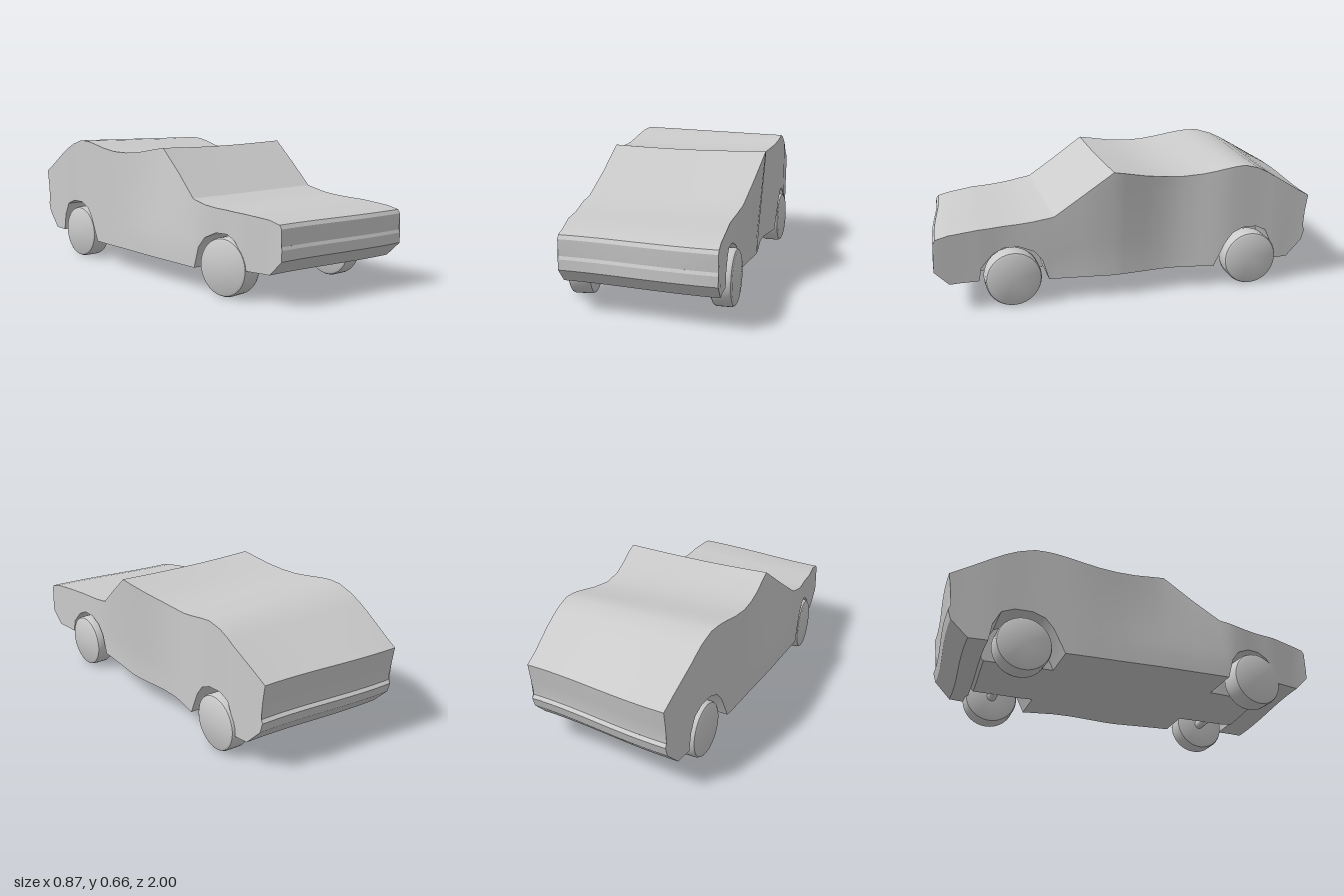
import * as THREE from 'three';
import { toCreasedNormals } from 'three/addons/utils/BufferGeometryUtils.js';

const { lerp, smoothstep } = THREE.MathUtils;

// Stations from nose to tail: top z, top y, bottom z, sill/arch y, floor y
const nose = [
  [0.968, 0.28, 0.968, 0.28], [0.972, 0.35, 0.975, 0.265], [0.972, 0.36, 0.975, 0.215],
  [0.96, 0.378, 0.905, 0.145], [0.9, 0.393, 0.85, 0.145], [0.77, 0.406, 0.765, 0.145],
];
const middle = [
  [0.755, 0.407, 0.21, 0.125], [0.7, 0.409, 0.275], [0.65, 0.412, 0.3], [0.58, 0.416, 0.3],
  [0.51, 0.424, 0.27], [0.47, 0.432, 0.22], [0.44, 0.437, 0.115], [0.41, 0.444, 0.115],
  [0.27, 0.55, 0.115], [0.12, 0.663, 0.115], [0.06, 0.652, 0.115], [-0.05, 0.629, 0.115],
  [-0.15, 0.616, 0.115], [-0.25, 0.613, 0.115], [-0.35, 0.624, 0.115], [-0.42, 0.637, 0.115],
  [-0.48, 0.648, 0.24], [-0.52, 0.653, 0.29], [-0.58, 0.655, 0.315], [-0.66, 0.633, 0.315],
  [-0.72, 0.604, 0.29], [-0.755, 0.583, 0.22],
];
const tail = [
  [-0.77, 0.575, -0.77, 0.13], [-0.9, 0.497, -0.8, 0.13], [-0.97, 0.457, -0.86, 0.13],
  [-0.957, 0.37, -0.945, 0.215], [-0.946, 0.3, -0.96, 0.265], [-0.946, 0.28, -0.946, 0.28],
];
const end = ([zt, yt, zb, yb]) => ({ zt, yt, zb, yb, yf: yb });
const stations = [
  ...nose.map(end),
  ...middle.map(([z, yt, yb, yf = 0.115]) => ({ zt: z, yt, zb: z, yb, yf })),
  ...tail.map(end),
];

// Half widths along z for the two flanks
const widthLeft = [[-0.95, 0.38], [-0.75, 0.395], [-0.5, 0.405], [-0.2, 0.365], [0.12, 0.395],
  [0.4, 0.37], [0.6, 0.367], [0.8, 0.385], [0.98, 0.4]];
const widthRight = [[-1, 0.385], [-0.7, 0.403], [-0.25, 0.425], [0.12, 0.435], [0.45, 0.437],
  [0.7, 0.4], [0.95, 0.362]];

function sample(table, z) {
  for (let i = 1; i < table.length; i++) {
    const [z0, a] = table[i - 1], [z1, b] = table[i];
    if (z <= z1) return lerp(a, b, smoothstep(z, z0, z1));
  }
  return table[table.length - 1][1];
}

// Bends the straight body: s runs from -1 (right flank) to 1 (left flank)
function warp(s, y, z) {
  const near = (c, w) => Math.exp(-(((z - c) / w) ** 2));
  const lean = Math.max(0, y - 0.2) * near(0.18, 0.3) * (s > 0 ? 0.09 : 0.14);
  const x = s * sample(s > 0 ? widthLeft : widthRight, z) + Math.abs(s) * lean;
  const high = smoothstep(y, 0.3, 0.6);
  const dy = high * (-0.013 * s * near(-0.38, 0.3) - 0.008 * Math.cos(s * Math.PI / 2) * near(0.1, 0.3));
  const dz = 0.028 * Math.sin(s * Math.PI / 2) * smoothstep(Math.abs(z), 0.4, 0.92);
  return [x, y + dy, z + dz];
}

// Surface grid over the stations; at(station, t) gives one point
function panel(name, cols, flip, at, material) {
  const pos = [], idx = [], row = cols + 1;
  stations.forEach((st, i) => {
    for (let j = 0; j <= cols; j++) {
      pos.push(...at(st, j / cols));
      if (i === 0 || j === 0) continue;
      const d = i * row + j, c = d - 1, b = d - row, a = b - 1;
      if (flip) idx.push(a, d, c, a, b, d);
      else idx.push(a, c, d, a, d, b);
    }
  });
  const geo = new THREE.BufferGeometry();
  geo.setAttribute('position', new THREE.Float32BufferAttribute(pos, 3));
  geo.setIndex(idx);
  const mesh = new THREE.Mesh(toCreasedNormals(geo, 0.4), material);
  mesh.name = name;
  return mesh;
}

export function createModel() {
  const car = new THREE.Group();
  car.name = 'car';
  const grey = new THREE.MeshStandardMaterial({ color: 0xcccccc });
  const inner = 0.5; // where the wheel wells end

  // Body shell
  const body = new THREE.Group();
  body.name = 'body';
  body.add(panel('upperBody', 12, true, (p, t) => warp(t * 2 - 1, p.yt, p.zt), grey));
  body.add(panel('floor', 6, false, (p, t) => warp(lerp(-inner, inner, t), p.yf, p.zb), grey));
  for (const [side, label] of [[1, 'left'], [-1, 'right']]) {
    const flip = side < 0;
    body.add(panel(label + 'Side', 8, flip,
      (p, t) => warp(side, lerp(p.yb, p.yt, t), lerp(p.zb, p.zt, t)), grey));
    body.add(panel(label + 'Underside', 4, flip,
      (p, t) => warp(side * lerp(inner, 1, t), p.yb, p.zb), grey));
    body.add(panel(label + 'WellWall', 1, flip,
      (p, t) => warp(side * inner, lerp(p.yf, p.yb, t), p.zb), grey));
  }
  car.add(body);

  // Wheels with rounded shoulders
  const wheel = (name, x, z, width, yaw) => {
    const h = width / 2, r = 0.14;
    const profile = [[0, -h], [r - 0.015, -h], [r - 0.005, -h + 0.006], [r, -h + 0.018],
      [r, h - 0.018], [r - 0.005, h - 0.006], [r - 0.015, h], [0, h]];
    const geo = new THREE.LatheGeometry(profile.map(([a, b]) => new THREE.Vector2(a, b)), 48);
    geo.rotateZ(-Math.PI / 2);
    const mesh = new THREE.Mesh(toCreasedNormals(geo, 0.6), grey);
    mesh.name = name;
    mesh.position.set(x, 0.142, z);
    mesh.rotation.y = yaw;
    car.add(mesh);
  };
  wheel('frontLeftWheel', 0.35, 0.62, 0.105, 0.02);
  wheel('frontRightWheel', -0.362, 0.61, 0.115, 0.13);
  wheel('rearLeftWheel', 0.355, -0.62, 0.11, -0.02);
  wheel('rearRightWheel', -0.352, -0.62, 0.11, 0.03);

  // Axles
  for (const [name, z] of [['frontAxle', 0.615], ['rearAxle', -0.62]]) {
    const axle = new THREE.Mesh(new THREE.CylinderGeometry(0.025, 0.025, 0.64, 20), grey);
    axle.name = name;
    axle.rotation.z = Math.PI / 2;
    axle.position.set(0, 0.142, z);
    car.add(axle);
  }
  return car;
}
